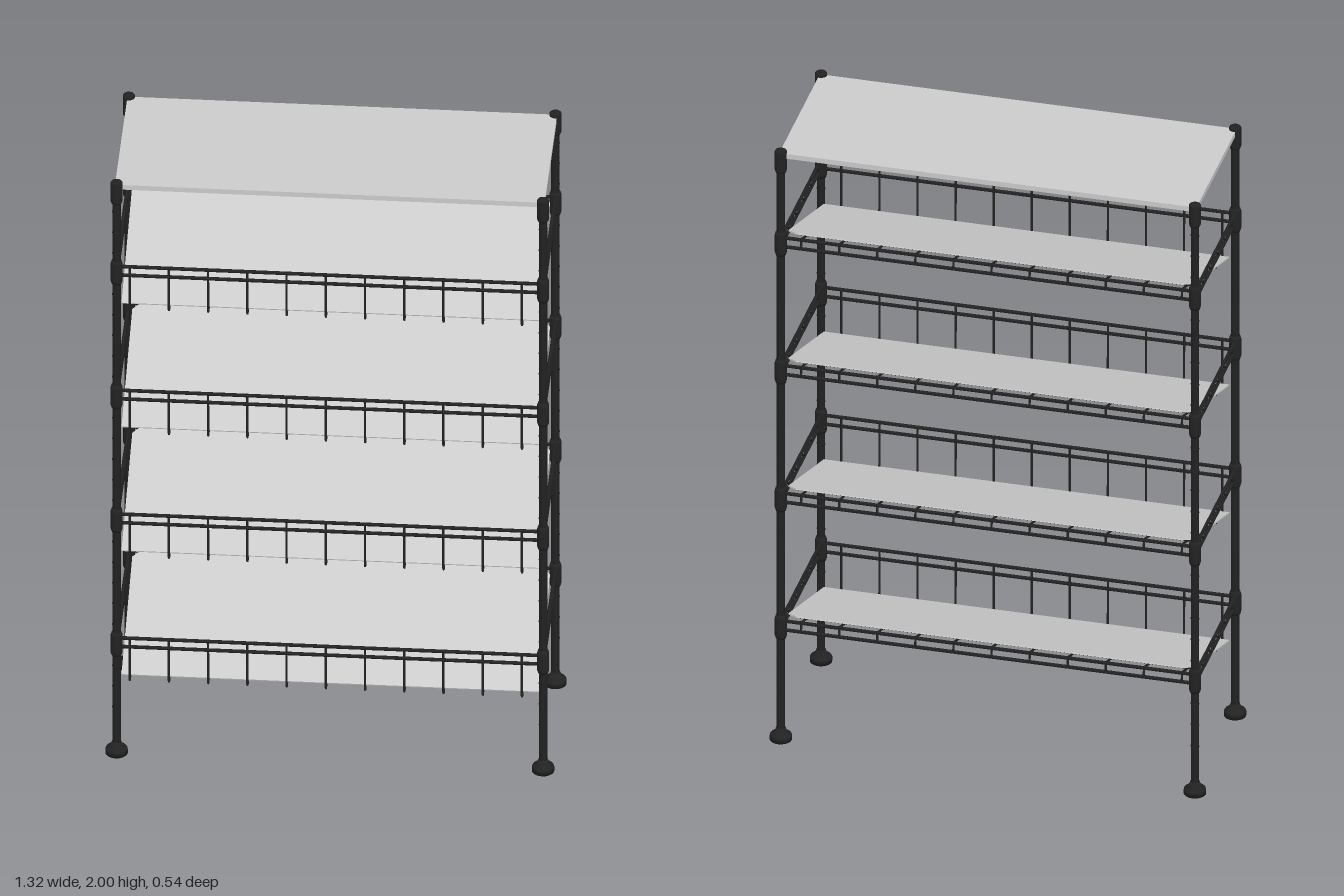
import * as THREE from 'three';

const BLACK = new THREE.MeshStandardMaterial({ color: 0x222222 });
const GREY = new THREE.MeshStandardMaterial({ color: 0xcccccc, side: THREE.DoubleSide });
const X = 0.628, Z = 0.235; // post centres
const UP = new THREE.Vector3(0, 1, 0);

function add(parent, name, geometry, material = BLACK) {
  const mesh = new THREE.Mesh(geometry, material);
  mesh.name = name;
  parent.add(mesh);
  return mesh;
}

// Straight round rod between two points
function rod(parent, name, a, b, r = 0.0045) {
  const p = new THREE.Vector3(...a), q = new THREE.Vector3(...b);
  const d = q.clone().sub(p);
  const mesh = add(parent, name, new THREE.CylinderGeometry(r, r, d.length(), 8));
  mesh.position.copy(p).add(q).multiplyScalar(0.5);
  mesh.quaternion.setFromUnitVectors(UP, d.normalize());
  return mesh;
}

function lathe(parent, name, points) {
  return add(parent, name, new THREE.LatheGeometry(points.map(p => new THREE.Vector2(...p)), 20));
}

// Post with levelling foot, grooves and top collar
function buildPost(x, z, levels) {
  const post = new THREE.Group();
  post.name = 'post';
  post.position.set(x, 0, z);
  rod(post, 'tube', [0, 0.02, 0], [0, 1.98, 0], 0.0125);
  lathe(post, 'foot', [[0, 0], [0.033, 0], [0.033, 0.014], [0.031, 0.018],
    [0.018, 0.028], [0.014, 0.04], [0, 0.04]]);
  for (let y = 0.16; y < 1.9; y += 0.0723)
    rod(post, 'grooveRing', [0, y - 0.002, 0], [0, y + 0.002, 0], 0.0132);
  lathe(post, 'topCollar', [[0, 1.927], [0.015, 1.927], [0.018, 1.935], [0.018, 1.997], [0.016, 2], [0, 2]]);
  for (const y of levels)
    lathe(post, 'shelfCollar', [[0, y - 0.058], [0.015, y - 0.058], [0.018, y - 0.048],
      [0.018, y + 0.01], [0.015, y + 0.02], [0, y + 0.02]]);
  return post;
}

// Wire frame with a sloping shelf; y = 0 is the upper rail
function buildShelf() {
  const shelf = new THREE.Group();
  shelf.name = 'shelf';
  const low = -0.03, drop = -0.154;
  for (const y of [0, low]) {
    for (const s of [-1, 1]) {
      rod(shelf, 'longRail', [-X, y, s * Z], [X, y, s * Z], 0.0055);
      rod(shelf, 'sideRail', [s * X, y, -Z], [s * X, y, Z], 0.0055);
    }
  }
  // Zigzag bracing on both sides
  const n = 10;
  for (const s of [-1, 1])
    for (let i = 0; i < n; i++) {
      const at = k => [s * X, k % 2 ? 0 : low, -0.215 + 0.43 * k / n];
      rod(shelf, 'zigzag', at(i), at(i + 1), 0.004);
    }
  // Bent wires: over the back rail, down the slope, up to the front rail
  for (let i = 0; i < 11; i++) {
    const x = -0.59 + i * 0.1155;
    const path = new THREE.CurvePath();
    const pts = [[-0.243, low], [-0.238, 0.004], [0.223, drop], [0.229, drop + 0.006], [0.23, 0]]
      .map(([z, y]) => new THREE.Vector3(x, y, z));
    for (let k = 0; k < pts.length - 1; k++)
      rod(shelf, 'slopeWire', pts[k].toArray(), pts[k + 1].toArray(), 0.0035);
  }
  // Lengthwise wires beneath the panel
  for (let i = 1; i <= 4; i++) {
    const t = i / 5;
    const z = -0.235 + t * 0.455, y = -0.004 + t * drop;
    rod(shelf, 'crossWire', [-0.6, y, z], [0.6, y, z], 0.0035);
  }
  // Sloping panel with clipped back corners
  const w = 0.615, l = 0.467, c = 0.03;
  const outline = new THREE.Shape([[-w, -l / 2], [w, -l / 2], [w, l / 2 - c], [w - c, l / 2],
    [c - w, l / 2], [-w, l / 2 - c]].map(p => new THREE.Vector2(...p)));
  const panel = add(shelf, 'slopingPanel',
    new THREE.ExtrudeGeometry(outline, { depth: 0.004, bevelEnabled: false }), GREY);
  panel.rotation.x = -Math.PI / 2 + 0.335;
  panel.position.set(0, -0.066, -0.005);
  return shelf;
}

export function createModel() {
  const model = new THREE.Group();
  model.name = 'shelvingRack';
  const levels = [0, 1, 2, 3].map(i => 0.402 + i * 0.434);
  for (const x of [-X, X])
    for (const z of [-Z, Z]) model.add(buildPost(x, z, levels));
  for (const y of levels) {
    const shelf = buildShelf();
    shelf.position.y = y;
    model.add(shelf);
  }
  // Flat top panel
  const top = add(model, 'topPanel', new THREE.BoxGeometry(1.265, 0.016, 0.475), GREY);
  top.position.y = 1.983;
  return model;
}
